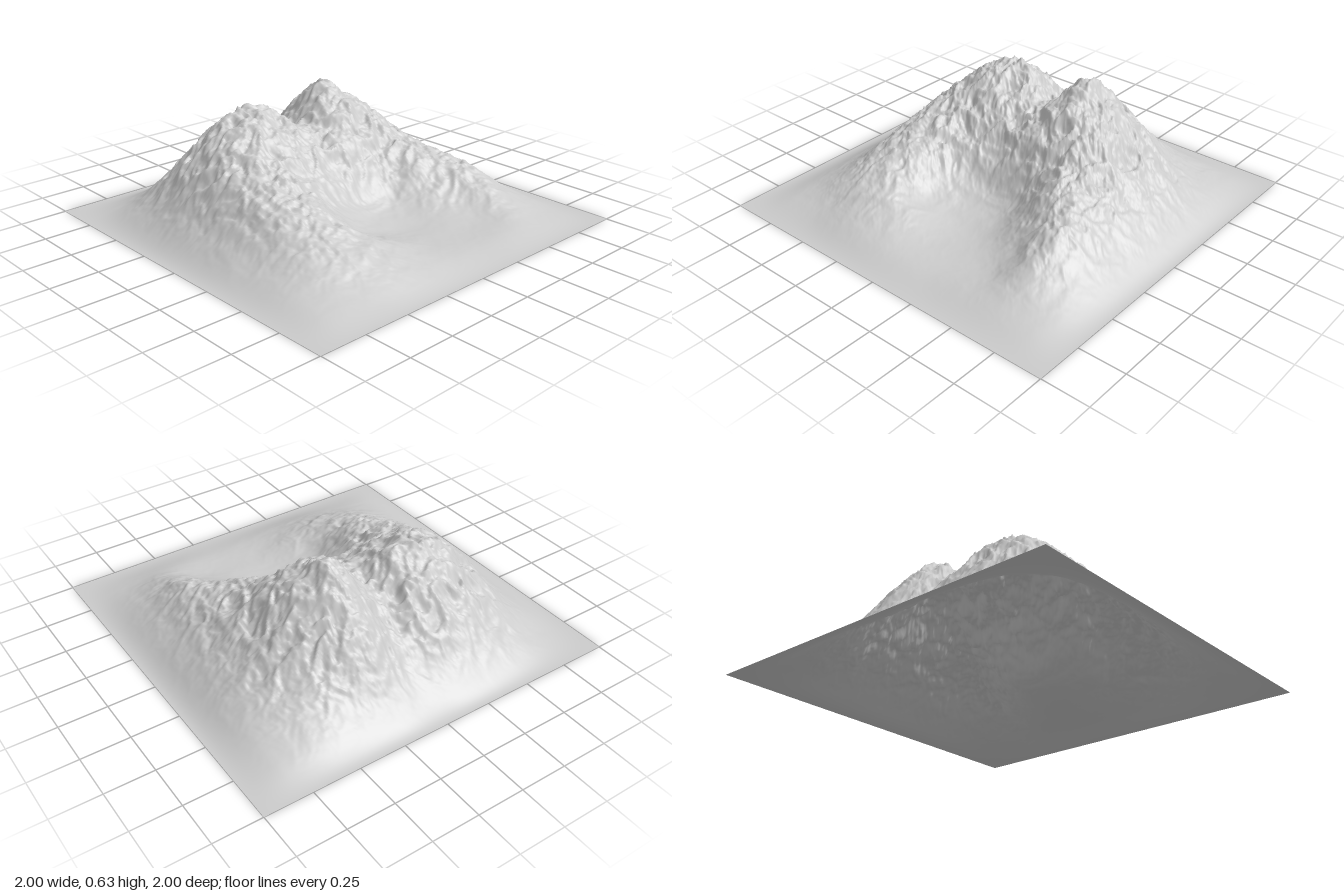
import * as THREE from 'three';

// Coarse relief: rows run from z = -0.8 to 0.8, columns from x = -0.8 to 0.8
const STEP = 0.2;
const RELIEF = [
  [0.04, 0.08, 0.11, 0.12, 0.12, 0.11, 0.10, 0.07, 0.03],
  [0.08, 0.17, 0.26, 0.28, 0.27, 0.25, 0.22, 0.13, 0.05],
  [0.11, 0.28, 0.45, 0.47, 0.37, 0.27, 0.14, 0.06, 0.04],
  [0.13, 0.37, 0.56, 0.55, 0.37, 0.14, 0.06, 0.04, 0.03],
  [0.10, 0.26, 0.39, 0.42, 0.34, 0.12, 0.05, 0.05, 0.04],
  [0.13, 0.35, 0.52, 0.49, 0.34, 0.18, 0.10, 0.11, 0.06],
  [0.12, 0.33, 0.50, 0.49, 0.37, 0.29, 0.22, 0.16, 0.07],
  [0.08, 0.22, 0.33, 0.35, 0.31, 0.26, 0.20, 0.13, 0.05],
  [0.03, 0.08, 0.11, 0.12, 0.11, 0.10, 0.08, 0.06, 0.03],
];

// Small knolls on the crests: x, z, height
const KNOLLS = [[-0.33, -0.22, 0.03], [-0.33, 0.11, 0.03], [-0.38, 0.26, 0.015]];

// Relief lookup, mirrored past the rim so the edges run out flat
function relief(row, col) {
  const fold = (i) => (i < -1 ? -2 - i : i > 9 ? 18 - i : i);
  return RELIEF[fold(row)]?.[fold(col)] ?? 0;
}

function cubic(a, b, c, d, t) {
  return b + 0.5 * t * (c - a + t * (2 * a - 5 * b + 4 * c - d + t * (3 * (b - c) + d - a)));
}

function baseHeight(x, z) {
  const u = (x + 0.8) / STEP, v = (z + 0.8) / STEP;
  const col = Math.floor(u), row = Math.floor(v);
  const line = (r) => cubic(
    relief(r, col - 1), relief(r, col), relief(r, col + 1), relief(r, col + 2), u - col);
  return Math.max(0, cubic(line(row - 1), line(row), line(row + 1), line(row + 2), v - row));
}

// Seeded lattice value in 0..1
function hash(i, j, seed) {
  let n = Math.imul(i, 374761393) + Math.imul(j, 668265263) + Math.imul(seed, 974711);
  n = Math.imul(n ^ (n >>> 13), 1274126177);
  return ((n ^ (n >>> 16)) >>> 0) / 4294967295;
}

// Gradient noise, roughly -0.7..0.7
function noise(x, z, seed) {
  const i = Math.floor(x), j = Math.floor(z), fx = x - i, fz = z - j;
  const fade = (t) => t * t * t * (t * (t * 6 - 15) + 10);
  const corner = (a, b) => {
    const angle = hash(i + a, j + b, seed) * Math.PI * 2;
    return Math.cos(angle) * (fx - a) + Math.sin(angle) * (fz - b);
  };
  const u = fade(fx), v = fade(fz), mix = THREE.MathUtils.lerp;
  return mix(mix(corner(0, 0), corner(1, 0), u), mix(corner(0, 1), corner(1, 1), u), v);
}

// Sharp-crested rock detail, centred near zero
function crags(x, z) {
  const wx = x + 0.04 * noise(x * 9, z * 9, 11);
  const wz = z + 0.04 * noise(x * 9, z * 9, 12);
  let sum = 0, size = 1, frequency = 8;
  for (let octave = 0; octave < 4; octave++) {
    sum += size * (0.5 - 2 * Math.abs(noise(wx * frequency, wz * frequency, octave)));
    size *= 0.56;
    frequency *= 2.03;
  }
  return sum;
}

function height(x, z) {
  let base = baseHeight(x, z);
  for (const [kx, kz, rise] of KNOLLS) {
    base += rise * Math.exp(-((x - kx) ** 2 + (z - kz) ** 2) / 0.005);
  }
  const roughness = 0.036 * THREE.MathUtils.smoothstep(base, 0, 0.38);
  return Math.max(0, base + roughness * crags(x, z));
}

export function createModel() {
  const group = new THREE.Group();
  group.name = 'mountain';

  // Open terrain sheet raised by the height rule
  const geometry = new THREE.PlaneGeometry(2, 2, 256, 256).rotateX(-Math.PI / 2);
  const position = geometry.attributes.position;
  for (let i = 0; i < position.count; i++) {
    position.setY(i, height(position.getX(i), position.getZ(i)));
  }
  geometry.computeVertexNormals();

  const terrain = new THREE.Mesh(
    geometry,
    new THREE.MeshStandardMaterial({ color: 0xcccccc, side: THREE.DoubleSide }));
  terrain.name = 'terrain';
  group.add(terrain);
  return group;
}
